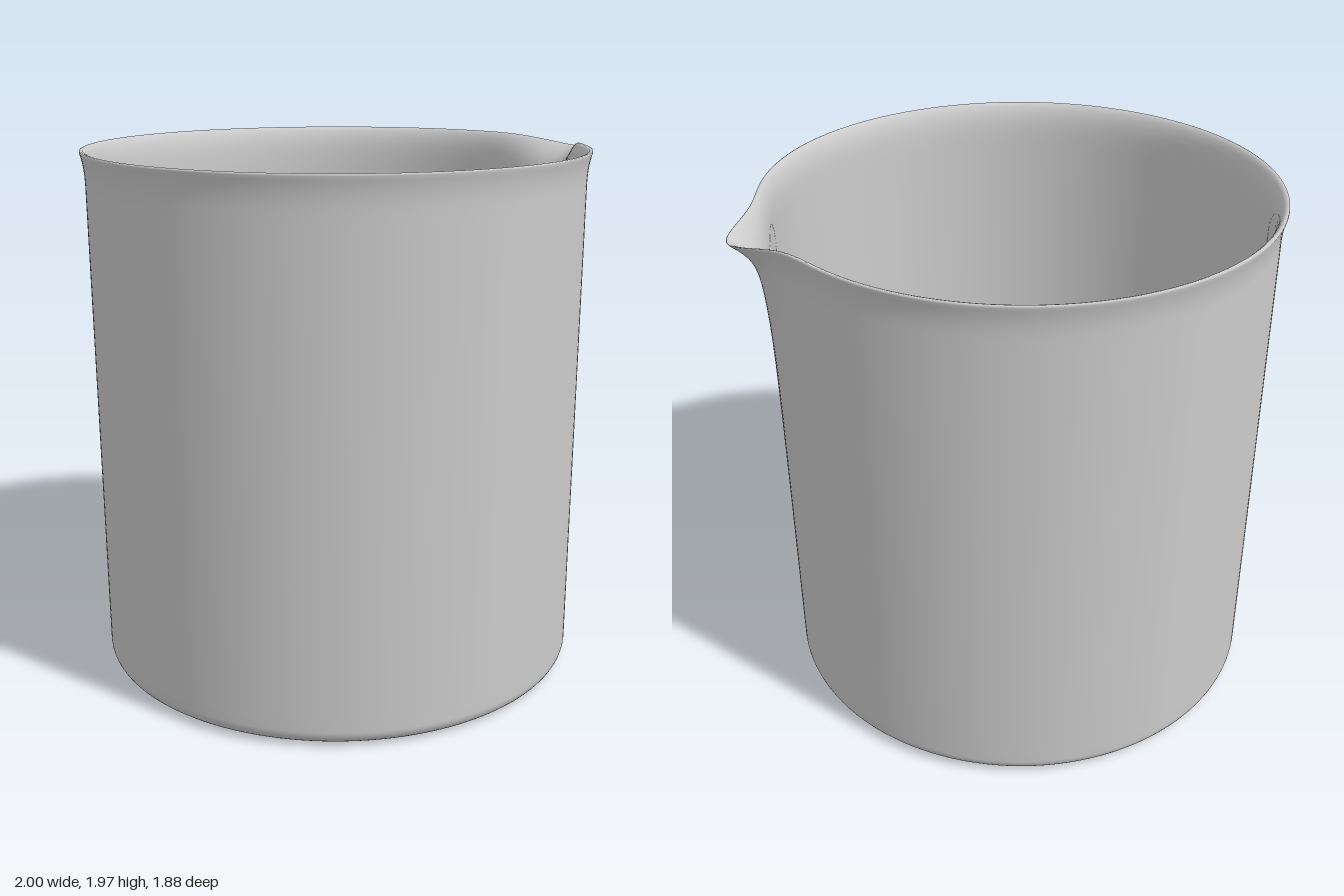
import * as THREE from 'three';
import { mergeVertices } from 'three/addons/utils/BufferGeometryUtils.js';

const CENTER_X = -0.0625;
const TOP = 1.978;

// Closed profile: underside, outer wall, flared rim, inner wall, floor
function vesselProfile() {
  const pts = [];
  const add = (r, y) => pts.push(new THREE.Vector2(r, y));
  const corner = (r, y, radius, from, to) => {
    for (let i = 0; i <= 8; i++) {
      const a = THREE.MathUtils.lerp(from, to, i / 8);
      add(r + Math.cos(a) * radius, y + Math.sin(a) * radius);
    }
  };
  const wall = (r0, r1, y0, y1, n) => {
    for (let i = 1; i <= n; i++) add(r0 + (r1 - r0) * i / n, y0 + (y1 - y0) * i / n);
  };
  [0, 0.3, 0.6, 0.78].forEach((r) => add(r, 0.006));
  add(0.83, 0.009);
  corner(0.862, 0.067, 0.055, -Math.PI / 2, 0);
  wall(0.917, 0.922, 0.067, 1.86, 36);
  // flared rim
  [[0.923, 1.885], [0.925, 1.91], [0.929, 1.935], [0.934, 1.957], [0.938, 1.97], [0.937, 1.976],
    [0.932, TOP], [0.925, 1.976], [0.917, 1.968], [0.909, 1.953], [0.901, 1.93], [0.896, 1.90],
    [0.893, 1.86]].forEach(([r, y]) => add(r, y));
  wall(0.893, 0.888, 1.86, 0.1, 36);
  corner(0.833, 0.1, 0.055, 0, -Math.PI / 2);
  [0.78, 0.6, 0.3, 0].forEach((r) => add(r, 0.04));
  return pts;
}

// Pulls the wall outward along +x into a spout and dips its lip
function shapeSpout(geometry) {
  const p = geometry.attributes.position;
  for (let i = 0; i < p.count; i++) {
    const x = p.getX(i), y = p.getY(i), z = p.getZ(i);
    if (x <= 0 || y < 0.3) continue;
    const across = Math.exp(-((z / 0.15) ** 2));
    const depth = TOP - y;
    const pull = 0.06 * Math.exp(-depth / 0.07) + 0.066 * Math.exp(-depth / 0.3);
    p.setX(i, x + pull * across);
    p.setY(i, y - 0.037 * across * THREE.MathUtils.smoothstep(y, 1.75, TOP));
  }
}

export function createModel() {
  const group = new THREE.Group();
  group.name = 'beaker';

  let geometry = new THREE.LatheGeometry(vesselProfile(), 224);
  geometry.deleteAttribute('uv');
  geometry.deleteAttribute('normal');
  geometry = mergeVertices(geometry, 1e-5);
  shapeSpout(geometry);
  geometry.computeVertexNormals();

  const vessel = new THREE.Mesh(geometry, new THREE.MeshStandardMaterial({ color: 0xcccccc }));
  vessel.name = 'vesselWithSpout';
  vessel.position.x = CENTER_X;
  group.add(vessel);
  return group;
}
